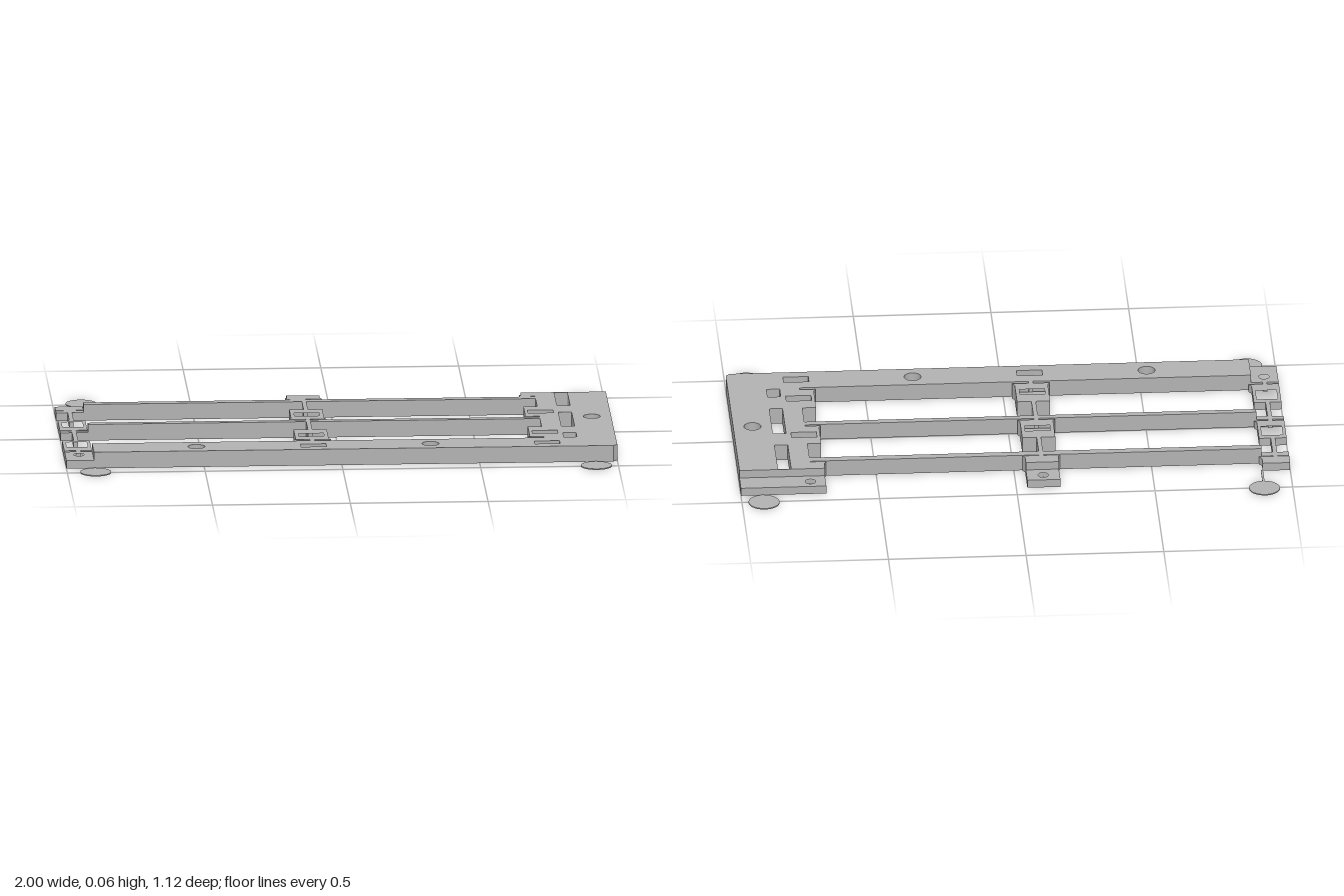
import * as THREE from 'three';

const FULL = 0.06, LOW = 0.03, SPLIT = 0.025;

export function createModel() {
  const group = new THREE.Group();
  const grey = new THREE.MeshStandardMaterial({ color: 0xb2b2b2 });
  grey.name = 'grey';

  // Outlines are given as [x, z] points
  const toPoints = (list) => list.map(([x, z]) => new THREE.Vector2(x, -z));
  const rect = (x0, x1, z0, z1) => [[x0, z0], [x1, z0], [x1, z1], [x0, z1]];
  const round = (x, z, r, n = 24) => Array.from({ length: n }, (_, i) => {
    const a = (i / n) * Math.PI * 2;
    return [x + r * Math.cos(a), z + r * Math.sin(a)];
  });

  // Flat slab with holes, from height y0 to y1
  function slab(name, outline, y0, y1, holes = []) {
    const shape = new THREE.Shape(toPoints(outline));
    holes.forEach((h) => shape.holes.push(new THREE.Path(toPoints(h))));
    const geo = new THREE.ExtrudeGeometry(shape, { depth: y1 - y0, bevelEnabled: false });
    geo.rotateX(-Math.PI / 2);
    geo.translate(0, y0, 0);
    const mesh = new THREE.Mesh(geo, grey);
    mesh.name = name;
    group.add(mesh);
  }

  // Tie slots narrow towards the underside
  const tieSlot = (x, z, lower) => {
    const w = lower ? 0.034 : 0.046;
    return rect(x - w, x + w, z - 0.021, z + 0.021);
  };
  const slotRows = [-0.08, 0.22, 0.375];

  // L-shaped frame: hexagonal nut pockets below, round bolt holes above
  const frame = [
    [-0.9, 0.435], [0.985, 0.435], [1, 0.42], [1, -0.36], [0.69, -0.36],
    [0.69, -0.325], [0.683, -0.305], [0.74, -0.305], [0.74, -0.155],
    [0.69, -0.155], [0.69, -0.025], [0.683, -0.01], [0.74, -0.01],
    [0.74, 0.14], [0.69, 0.14], [0.69, 0.275], [0.683, 0.29],
    [0.74, 0.29], [0.74, 0.305], [-0.9, 0.305],
  ];
  const bolts = [[-0.525, 0.37], [0.325, 0.37], [0.93, 0]];
  for (const lower of [true, false]) {
    const holes = [
      ...bolts.map(([x, z]) => (lower ? round(x, z, 0.052, 6) : round(x, z, 0.031))),
      ...slotRows.map((z) => tieSlot(0.748, z, lower)),
      tieSlot(-0.1, 0.375, lower),
      rect(0.812, 0.86, -0.357, -0.16),
      rect(0.812, 0.86, -0.065, 0.14),
      rect(0.812, 0.86, 0.237, 0.3),
    ];
    slab(lower ? 'frameBase' : 'frameTop', frame, lower ? 0 : SPLIT, lower ? SPLIT : FULL, holes);
  }

  // Low ends of the frame with screw holes
  slab('railEnd', rect(-1, -0.9, 0.305, 0.435), 0, LOW, [round(-0.95, 0.35, 0.019)]);
  slab('cornerTab', rect(0.69, 1, -0.445, -0.36), 0, LOW, [round(0.745, -0.405, 0.019)]);
  slab('middleTab', rect(-0.16, -0.04, -0.445, -0.36), 0, LOW, [round(-0.1, -0.405, 0.019)]);

  // Long bars with low left ends
  for (const [z0, z1] of [[-0.3, -0.27], [0, 0.025]]) {
    slab('longBar', rect(-0.9, 0.741, z0, z1), 0, FULL);
    slab('longBarEnd', rect(-1, -0.9, z0, z1), 0, LOW);
  }

  // Clip blocks flare along their front edge
  const block = (x0, x1, z0, z1, left, right) => [
    [x0, z0], [x1, z0], [x1, z1 - 0.015], [x1 + right, z1],
    [x0 - left, z1], [x0, z1 - 0.015],
  ];
  slab('middleBackBlock', block(-0.16, -0.04, -0.36, -0.305, 0.008, 0.008), 0, FULL);
  slab('leftBackBlock', block(-1, -0.9, -0.36, -0.305, 0, 0.01), 0, LOW);
  for (const [z0, z1, slotZ] of [[-0.155, -0.01, -0.08], [0.14, 0.29, 0.22]]) {
    const middle = block(-0.16, -0.04, z0, z1, 0.008, 0.008);
    slab('middleBlockBase', middle, 0, SPLIT, [tieSlot(-0.1, slotZ, true)]);
    slab('middleBlockTop', middle, SPLIT, FULL, [tieSlot(-0.1, slotZ, false)]);
    slab('leftBlock', block(-1, -0.9, z0, z1, 0, 0.01), 0, LOW,
      [rect(-0.988, -0.912, z0 + 0.025, z0 + 0.098)]);
  }

  // Thin webs and necks joining blocks to bars
  const joints = [[-0.306, -0.299], [-0.271, -0.154], [-0.011, 0.001], [0.024, 0.141], [0.289, 0.306]];
  for (const [z0, z1] of joints) {
    slab('middleWeb', rect(-0.108, -0.092, z0, z1), 0, FULL);
    slab('leftWeb', rect(-0.958, -0.942, z0, z1), 0, LOW);
  }

  // Thin corner discs and their stems
  for (const [x, z, end] of [[-0.897, -0.507, -0.359], [0.92, -0.507, -0.444],
    [-0.897, 0.5, 0.434], [0.92, 0.5, 0.434]]) {
    slab('cornerDisc', round(x, z, 0.056, 40), 0, 0.004);
    slab('discStem', rect(x - 0.004, x + 0.004, Math.min(z, end), Math.max(z, end)), 0, 0.0035);
  }
  return group;
}
